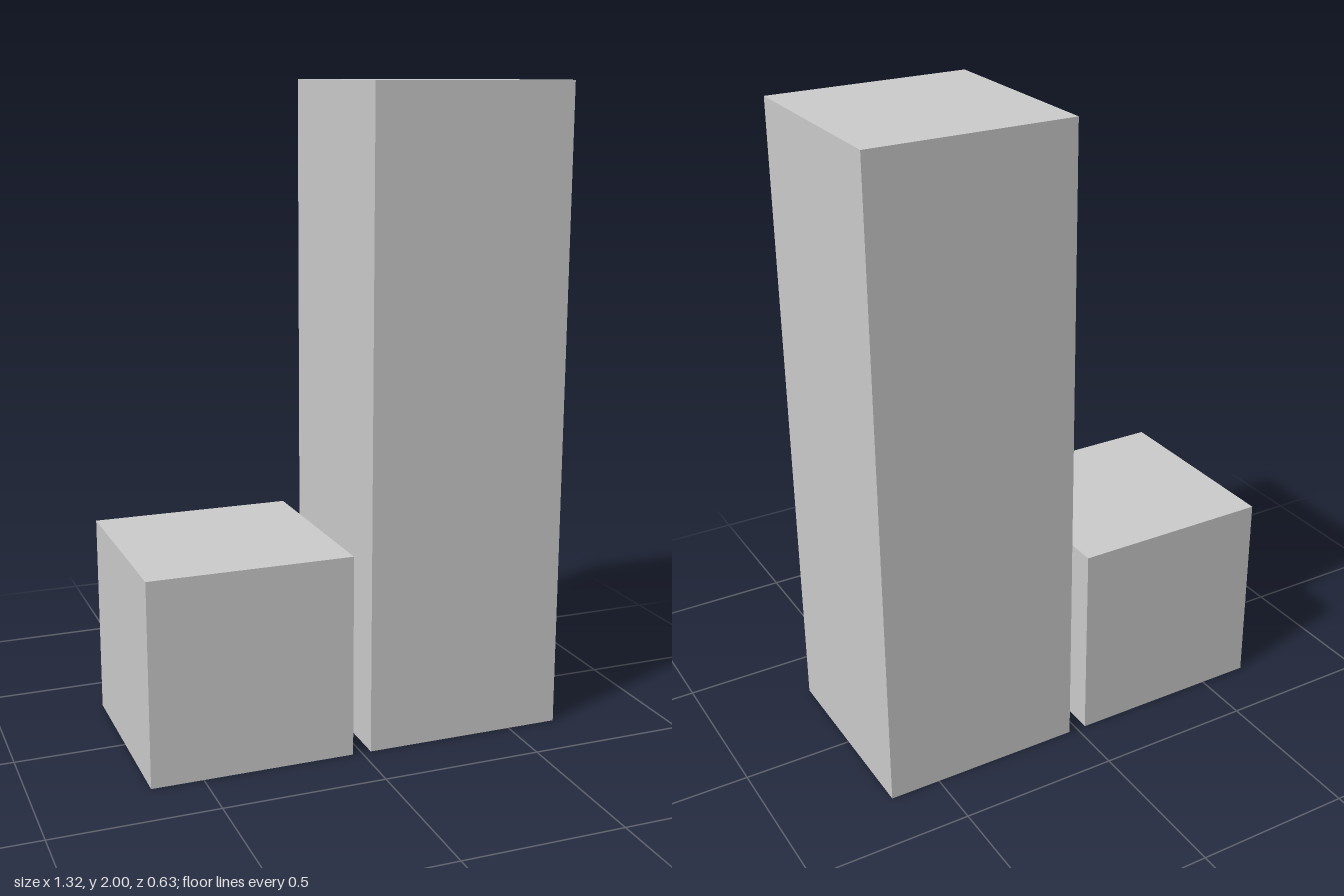
import * as THREE from 'three';

const SIDE = 0.63; // square footprint of both blocks
const OFFSET = 0.344; // distance of each block's centre from the middle

export function createModel() {
  const model = new THREE.Group();
  const material = new THREE.MeshStandardMaterial({ color: 0xcccccc, flatShading: true });

  // Upright block standing on the ground
  const addBlock = (name, x, height) => {
    const block = new THREE.Mesh(new THREE.BoxGeometry(SIDE, height, SIDE), material);
    block.name = name;
    block.position.set(x, height / 2, 0);
    model.add(block);
  };

  addBlock('shortBlock', -OFFSET, SIDE);
  addBlock('tallBlock', OFFSET, 2);
  return model;
}
